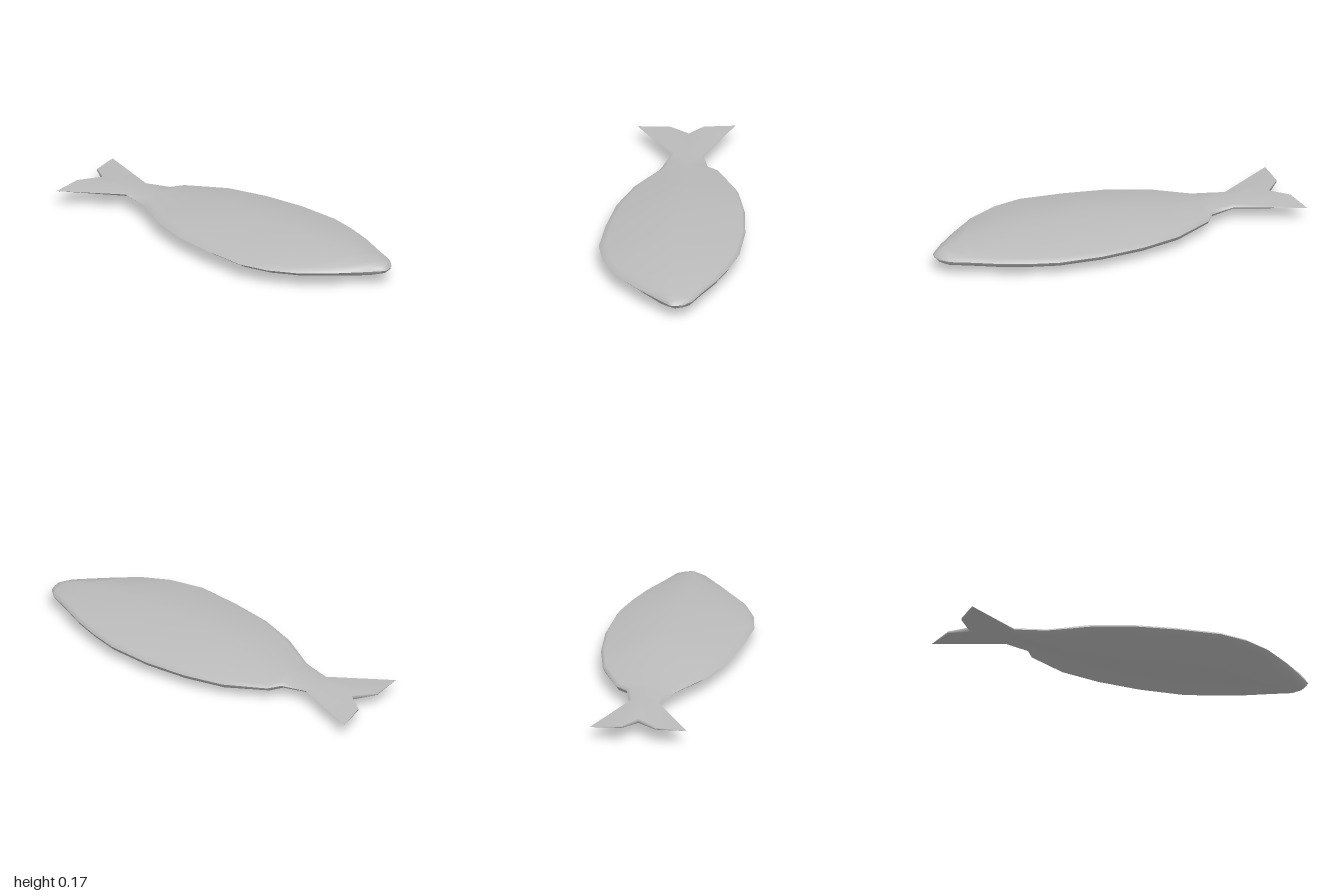
import * as THREE from 'three';

const MID = 0.0875; // height of the flat rim around the fish

// Body stations, nose to tail root: z, left edge x, right edge x, ridge x, ridge half thickness
const STATIONS = [
  [0.98, 0.055, 0.15, 0.1, 0.024],
  [0.94, 0.005, 0.185, 0.085, 0.037],
  [0.83, -0.12, 0.227, 0.045, 0.056],
  [0.69, -0.25, 0.287, 0.035, 0.068],
  [0.55, -0.33, 0.33, 0.025, 0.078],
  [0.40, -0.37, 0.362, 0.015, 0.0845],
  [0.17, -0.362, 0.364, 0.005, 0.0875],
  [-0.06, -0.335, 0.333, 0.01, 0.078],
  [-0.27, -0.27, 0.272, 0.01, 0.048],
  [-0.47, -0.163, 0.153, -0.01, 0.031],
  [-0.51, -0.152, 0.087, -0.03, 0.029],
  [-0.64, -0.125, 0.045, -0.04, 0.022],
];

// Five points across a station: edge, rim, ridge, rim, edge
function section([z, left, right, ridge, h]) {
  const rim = Math.min(0.024, h * 0.62);
  const w = right - left;
  return [
    [left, 0, z],
    [left + Math.min(0.035, w * 0.1), rim, z],
    [ridge, h, z],
    [right - Math.min(0.015, w * 0.1), rim, z],
    [right, 0, z],
  ];
}

// Nose tip, body, then the forked trailing edge, closed by a last flat row
function rows() {
  const nose = [[0.07, 0.993], [0.08, 1], [0.1, 1], [0.135, 0.99], [0.147, 0.982]];
  const fork = [[-0.335, -0.93], [-0.17, -0.94], [-0.06, -0.86], [0.005, -0.96], [0.165, -1]];
  const forkThickness = [0, 0.005, 0.013, 0.005, 0];
  return [
    nose.map(([x, z]) => [x, 0, z]),
    ...STATIONS.map(section),
    fork.map(([x, z], i) => [x, forkThickness[i], z]),
    fork.map(([x, z]) => [x, 0, z]),
  ];
}

// One skin of the fish: side 1 is the upper, -1 the lower
function skin(side) {
  const grid = rows();
  const positions = grid.flat().flatMap(([x, y, z]) => [x, MID + side * y, z]);
  const index = [];
  for (let r = 0; r < grid.length - 1; r++) {
    for (let c = 0; c < 4; c++) {
      const a = r * 5 + c, b = a + 1, d = a + 5, e = a + 6;
      // split the quads symmetrically about the ridge
      const faces = c < 2 ? [[a, b, d], [b, e, d]] : [[a, e, d], [a, b, e]];
      for (const [i, j, k] of faces) index.push(...(side > 0 ? [i, j, k] : [i, k, j]));
    }
  }
  const geometry = new THREE.BufferGeometry();
  geometry.setAttribute('position', new THREE.Float32BufferAttribute(positions, 3));
  geometry.setIndex(index);
  geometry.computeVertexNormals();
  return geometry;
}

export function createModel() {
  const grey = new THREE.MeshStandardMaterial({ color: 0xbbbbbb });
  grey.name = 'light grey';
  const fish = new THREE.Group();
  fish.name = 'fish';
  for (const [name, side] of [['upperSkin', 1], ['lowerSkin', -1]]) {
    const mesh = new THREE.Mesh(skin(side), grey);
    mesh.name = name;
    fish.add(mesh);
  }
  return fish;
}
